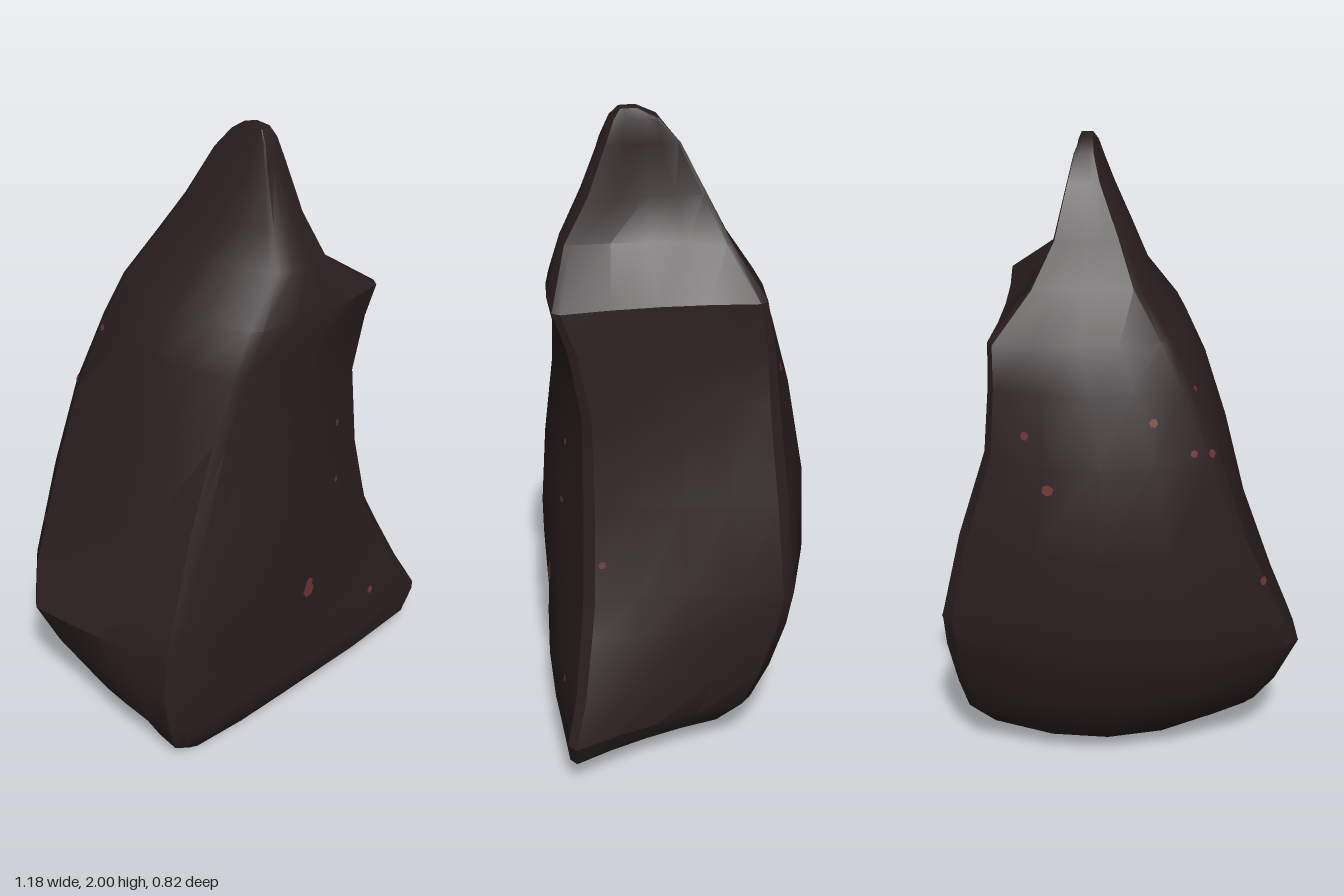
import * as THREE from 'three';
import { toCreasedNormals } from 'three/addons/utils/BufferGeometryUtils.js';

// Rings from bottom to top: y, four corners as x,z (front -x, front +x, back +x, back -x), back bulge
const RINGS = [
  [0.0, -0.38, 0.27, 0.36, 0.34, 0.30, -0.02, -0.26, 0.04, 0.11],
  [0.07, -0.46, 0.29, 0.56, 0.40, 0.40, -0.10, -0.36, -0.02, 0.13],
  [0.17, -0.49, 0.30, 0.60, 0.41, 0.45, -0.17, -0.46, -0.10, 0.12],
  [0.30, -0.50, 0.29, 0.54, 0.37, 0.48, -0.22, -0.52, -0.18, 0.13],
  [0.46, -0.49, 0.30, 0.47, 0.34, 0.51, -0.26, -0.59, -0.21, 0.155],
  [0.58, -0.46, 0.30, 0.42, 0.32, 0.52, -0.28, -0.53, -0.26, 0.14],
  [0.86, -0.37, 0.29, 0.36, 0.305, 0.46, -0.27, -0.41, -0.28, 0.135],
  [1.14, -0.27, 0.29, 0.33, 0.305, 0.375, -0.26, -0.32, -0.26, 0.10],
  [1.35, -0.19, 0.30, 0.33, 0.345, 0.36, -0.25, -0.23, -0.23, 0.05],
  [1.48, -0.13, 0.31, 0.32, 0.39, 0.36, -0.23, -0.17, -0.20, 0.03],
  [1.62, -0.03, 0.285, 0.15, 0.325, 0.24, -0.15, -0.08, -0.14, 0.01],
  [1.75, 0.0, 0.24, 0.125, 0.25, 0.17, -0.09, -0.03, -0.07, 0.01],
  [1.90, 0.02, 0.20, 0.11, 0.195, 0.13, -0.02, 0.03, -0.01, 0],
  [1.97, 0.04, 0.175, 0.10, 0.17, 0.11, 0.04, 0.05, 0.04, 0],
  [2.0, 0.055, 0.15, 0.09, 0.15, 0.09, 0.10, 0.055, 0.10, 0],
];

// Expand four corners into a bevelled outline with bowed sides
function outline([y, ax, az, bx, bz, cx, cz, dx, dz, back]) {
  const c = [[ax, az], [bx, bz], [cx, cz], [dx, dz]].map(p => new THREE.Vector2(...p));
  const taper = Math.min(1, (2 - y) * 4);
  const belly = 0.02 + 0.06 * Math.exp(-(((y - 0.75) / 0.5) ** 2));
  const shoulder = 0.02 + 0.055 * Math.exp(-(((y - 1.4) / 0.4) ** 2));
  const bows = [belly * taper, -0.02 * taper, back, shoulder * taper];
  const pts = [];
  c.forEach((p, i) => {
    const q = c[(i + 1) % 4];
    const out = new THREE.Vector2(p.y - q.y, q.x - p.x).normalize();
    for (const t of [0.035, 0.27, 0.5, 0.73, 0.965]) {
      pts.push(p.clone().lerp(q, t).addScaledVector(out, bows[i] * (1 - (2 * t - 1) ** 2)));
    }
  });
  // The underside rises slightly towards +x
  return pts.map(p => [p.x, y + Math.max(0, 0.1 - y) * 0.7 * (p.x + 0.4), p.y]);
}

function rockGeometry() {
  const rings = RINGS.map(outline), n = rings[0].length;
  const pos = rings.flat(2), index = [];
  for (let r = 0; r < rings.length - 1; r++) {
    for (let k = 0; k < n; k++) {
      const a = r * n + k, b = r * n + (k + 1) % n;
      index.push(a, b, b + n, a, b + n, a + n);
    }
  }
  // Close the base and the tip
  const top = (rings.length - 1) * n;
  for (let k = 1; k < n - 1; k++) {
    index.push(0, k + 1, k, top, top + k, top + k + 1);
  }
  const g = new THREE.BufferGeometry();
  g.setAttribute('position', new THREE.Float32BufferAttribute(pos, 3));
  g.setIndex(index);
  return toCreasedNormals(g, 0.5);
}

export function createModel() {
  const group = new THREE.Group();
  group.name = 'rock';
  const stone = new THREE.MeshStandardMaterial({ color: 0x2b1f20 });
  stone.name = 'dark stone';
  const rust = new THREE.MeshStandardMaterial({ color: 0x6e3433 });
  rust.name = 'rust red';

  const body = new THREE.Mesh(rockGeometry(), stone);
  body.name = 'rockBody';
  group.add(body);
  body.updateMatrixWorld();

  // Small flecks lying on the surface: direction, sideways and upward offset, radius
  const ray = new THREE.Raycaster();
  function fleck(dir, u, v, r) {
    const d = new THREE.Vector3(...dir).normalize();
    const right = new THREE.Vector3(0, 1, 0).cross(d).normalize();
    const up = d.clone().cross(right);
    const from = new THREE.Vector3(0, 1, 0).addScaledVector(right, u).addScaledVector(up, v).addScaledVector(d, 4);
    ray.set(from, d.clone().negate());
    const hit = ray.intersectObject(body)[0];
    if (!hit) return;
    const m = new THREE.Mesh(new THREE.CircleGeometry(r, 6), rust);
    m.name = 'fleck';
    m.position.copy(hit.point).addScaledVector(hit.face.normal, 0.003);
    m.quaternion.setFromUnitVectors(new THREE.Vector3(0, 0, 1), hit.face.normal);
    group.add(m);
  }
  const front = [0, 0, 1], frontSide = [1, 0.65, 1], backSide = [-1, 0.65, -1], below = [1, -0.65, -1];
  [
    [front, 0.045, -0.535, 0.026], [front, 0.05, -0.508, 0.017], [front, 0.36, -0.725, 0.013], [front, 0.19, -0.19, 0.011],
    [frontSide, -0.10, -0.15, 0.011], [frontSide, 0.09, -0.48, 0.012],
    [backSide, 0.035, 0.17, 0.01], [backSide, -0.115, 0.115, 0.014], [backSide, -0.375, 0.012, 0.018],
    [backSide, -0.025, -0.012, 0.012], [backSide, 0.03, -0.03, 0.014], [backSide, 0.15, -0.475, 0.015],
    [below, 0.035, 0.36, 0.014], [below, -0.16, -0.9, 0.019],
  ].forEach(f => fleck(...f));
  return group;
}
